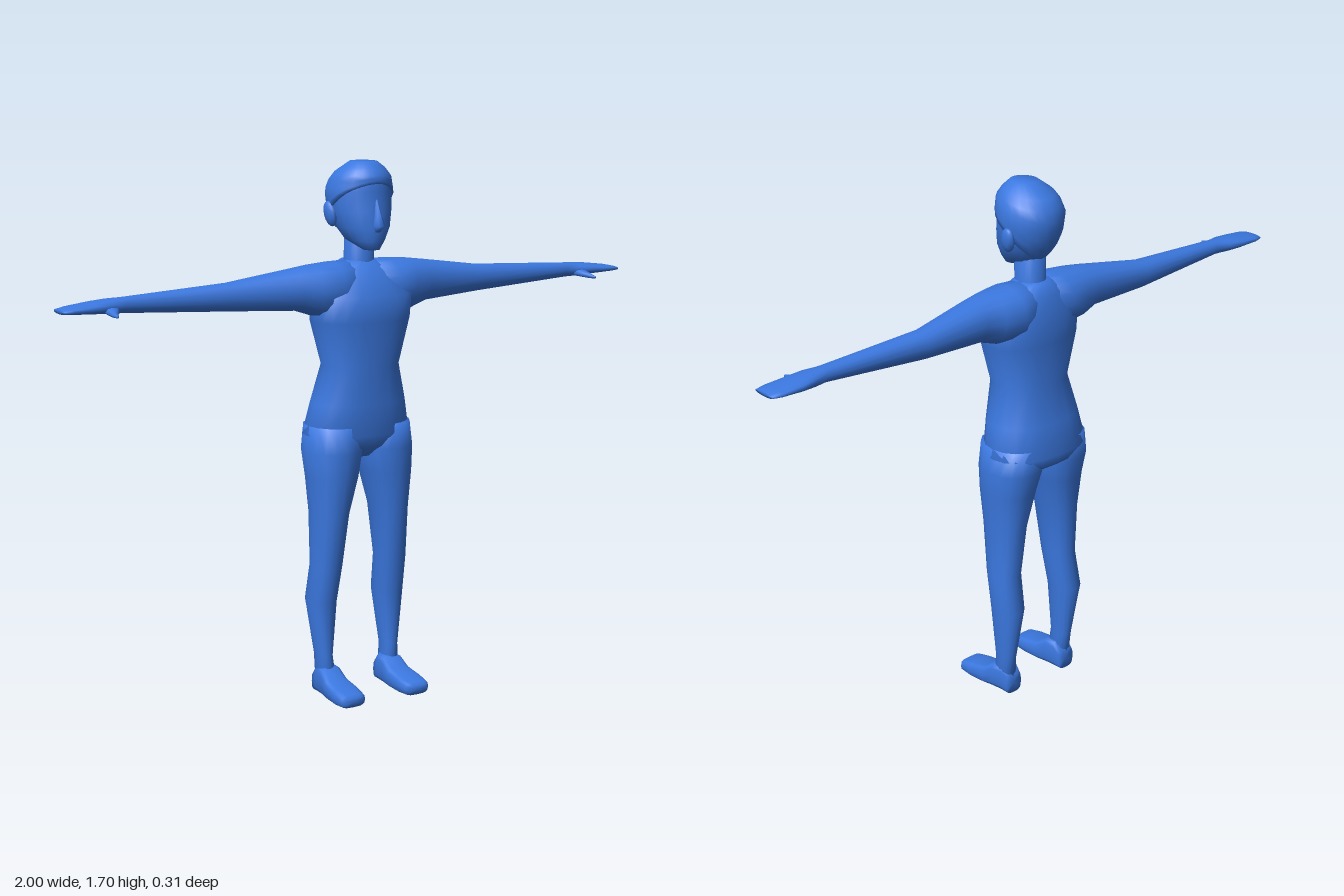
import * as THREE from 'three';

const blue = new THREE.MeshStandardMaterial({ color: 0x3b78e0 });
blue.name = 'blue';

// Builds a closed skin over a grid of rings; the winding is fixed from the enclosed volume.
function skin(name, rings) {
  const n = rings[0].length;
  const pts = rings.flat();
  const last = (rings.length - 1) * n;
  for (const ring of [rings[0], rings[rings.length - 1]]) {
    pts.push(ring.reduce((s, p) => s.add(p), new THREE.Vector3()).divideScalar(n));
  }
  const tris = [];
  for (let i = 0; i < n; i++) {
    const j = (i + 1) % n;
    for (let r = 0; r < last; r += n) {
      tris.push([r + i, r + j, r + n + i], [r + j, r + n + j, r + n + i]);
    }
    tris.push([pts.length - 2, j, i], [pts.length - 1, last + i, last + j]);
  }
  let volume = 0;
  for (const [a, b, c] of tris) volume += pts[a].dot(pts[b].clone().cross(pts[c]));
  if (volume < 0) tris.forEach((t) => t.reverse());
  const geo = new THREE.BufferGeometry().setFromPoints(pts);
  geo.setIndex(tris.flat());
  geo.computeVertexNormals();
  const mesh = new THREE.Mesh(geo, blue);
  mesh.name = name;
  return mesh;
}

// Section = [t, u0, u1, v0, v1]; power below 1 makes the outline boxier.
function outline([t, u0, u1, v0, v1], map, power, sides) {
  const bend = (v) => Math.sign(v) * Math.abs(v) ** power;
  return Array.from({ length: sides }, (_, i) => {
    const a = (i / sides) * Math.PI * 2;
    return map(t, (u0 + u1) / 2 + ((u1 - u0) / 2) * bend(Math.cos(a)),
      (v0 + v1) / 2 + ((v1 - v0) / 2) * bend(Math.sin(a)));
  });
}
const loft = (name, sections, map, power = 0.9, sides = 16) =>
  skin(name, sections.map((s) => outline(s, map, power, sides)));

const alongY = (s) => (t, u, v) => new THREE.Vector3(s * u, t, v);
const alongX = (s) => (t, u, v) => new THREE.Vector3(s * t, u, v);
const alongZ = (s) => (t, u, v) => new THREE.Vector3(s * u, v, t);

// Head profile from chin to crown: y, half width, back z, front z
const headProfile = [
  [1.432, 0.025, 0.03, 0.085], [1.46, 0.056, -0.055, 0.095], [1.5, 0.08, -0.09, 0.1],
  [1.55, 0.094, -0.112, 0.094], [1.61, 0.1, -0.118, 0.086], [1.655, 0.086, -0.1, 0.088],
  [1.682, 0.062, -0.065, 0.07], [1.694, 0.035, -0.03, 0.05],
];
function headAt(y) {
  let k = 0;
  while (k < headProfile.length - 2 && y > headProfile[k + 1][0]) k++;
  const a = headProfile[k], b = headProfile[k + 1];
  const f = THREE.MathUtils.clamp((y - a[0]) / (b[0] - a[0]), 0, 1);
  return a.map((v, i) => v + (b[i] - v) * f);
}

// Hair follows the head, ending at a line that dips from the forehead to the nape.
function makeHair() {
  const sides = 24, rings = [];
  for (let r = 0; r <= 8; r++) {
    const grow = r === 8 ? -0.012 : 0.006;
    const ring = [];
    for (let i = 0; i < sides; i++) {
      const a = (i / sides) * Math.PI * 2;
      const s = Math.sin(a);
      const line = 1.565 + (s > 0 ? 0.07 : 0.095) * s;
      const y = THREE.MathUtils.lerp(1.694, line, Math.min(r, 7) / 7);
      const [, w, zb, zf] = headAt(y);
      ring.push(new THREE.Vector3((w + grow) * Math.cos(a), y + (r === 0 ? 0.006 : 0),
        (zb + zf) / 2 + ((zf - zb) / 2 + grow) * s));
    }
    rings.push(ring);
  }
  return skin('hair', rings);
}

export function createModel() {
  const model = new THREE.Group();
  model.name = 'figure';

  // Trunk
  model.add(loft('torso', [
    [0.775, -0.07, 0.07, -0.08, 0.02], [0.81, -0.14, 0.14, -0.135, 0.06],
    [0.85, -0.178, 0.178, -0.155, 0.08], [0.95, -0.157, 0.157, -0.135, 0.084],
    [1.07, -0.125, 0.125, -0.11, 0.088], [1.21, -0.165, 0.165, -0.118, 0.1],
    [1.29, -0.17, 0.17, -0.12, 0.108], [1.36, -0.115, 0.115, -0.1, 0.055],
    [1.395, -0.05, 0.05, -0.08, 0.03],
  ], alongY(1), 0.85, 20));

  // Head and neck
  model.add(loft('neck', [
    [1.35, -0.06, 0.06, -0.085, 0.045], [1.395, -0.045, 0.045, -0.066, 0.032],
    [1.5, -0.045, 0.045, -0.063, 0.032],
  ], alongY(1)));
  model.add(loft('head', headProfile.map(([y, w, zb, zf]) => [y, -w, w, zb, zf]), alongY(1), 1, 20));
  model.add(makeHair());
  model.add(loft('nose', [
    [1.488, -0.012, 0.012, 0.07, 0.102], [1.508, -0.017, 0.017, 0.07, 0.131],
    [1.54, -0.011, 0.011, 0.07, 0.112], [1.59, -0.006, 0.006, 0.07, 0.088],
  ], alongY(1), 1.1, 8));

  for (const s of [1, -1]) {
    const side = s > 0 ? 'left' : 'right';

    const ear = new THREE.Mesh(new THREE.SphereGeometry(1, 10, 8), blue);
    ear.name = side + 'Ear';
    ear.scale.set(0.016, 0.04, 0.026);
    ear.position.set(s * 0.098, 1.54, -0.025);
    ear.rotation.set(-0.2, 0, -s * 0.15);
    model.add(ear);

    // Arm with a flat mitten hand, running from inside the chest to the fingertips
    model.add(loft(side + 'Arm', [
      [0, 1.23, 1.397, -0.1, 0.045], [0.1, 1.225, 1.395, -0.113, 0.08],
      [0.17, 1.23, 1.39, -0.1, 0.066], [0.23, 1.25, 1.382, -0.086, 0.05],
      [0.45, 1.262, 1.35, -0.08, 0.005], [0.8, 1.285, 1.333, -0.055, -0.002],
      [0.85, 1.287, 1.331, -0.07, 0.012], [0.9, 1.29, 1.326, -0.078, 0.017],
      [0.97, 1.294, 1.317, -0.075, 0.02], [1, 1.297, 1.311, -0.066, 0.016],
    ], alongX(s)));
    model.add(loft(side + 'Thumb', [
      [-0.03, 0.81, 0.87, 1.29, 1.315], [0.01, 0.828, 0.872, 1.286, 1.31],
      [0.045, 0.847, 0.868, 1.284, 1.3], [0.07, 0.857, 0.864, 1.286, 1.293],
    ], alongZ(s), 0.9, 8));

    // Leg
    model.add(loft(side + 'Leg', [
      [0.03, 0.085, 0.15, -0.062, 0.01], [0.13, 0.098, 0.147, -0.075, 0.004],
      [0.31, 0.077, 0.171, -0.104, 0.01], [0.43, 0.071, 0.166, -0.082, 0.036],
      [0.6, 0.053, 0.166, -0.098, 0.058], [0.72, 0.019, 0.178, -0.115, 0.072],
      [0.8, 0.002, 0.184, -0.135, 0.076], [0.88, 0.01, 0.172, -0.135, 0.074],
    ], alongY(s)));

    // Foot
    model.add(loft(side + 'Foot', [
      [-0.066, 0.085, 0.148, 0, 0.07], [-0.04, 0.08, 0.152, 0, 0.1],
      [0, 0.076, 0.156, 0, 0.095], [0.04, 0.072, 0.162, 0, 0.066],
      [0.1, 0.07, 0.167, 0, 0.054], [0.145, 0.076, 0.162, 0.002, 0.044],
      [0.155, 0.086, 0.152, 0.01, 0.036],
    ], alongZ(s), 0.6));
  }
  return model;
}
